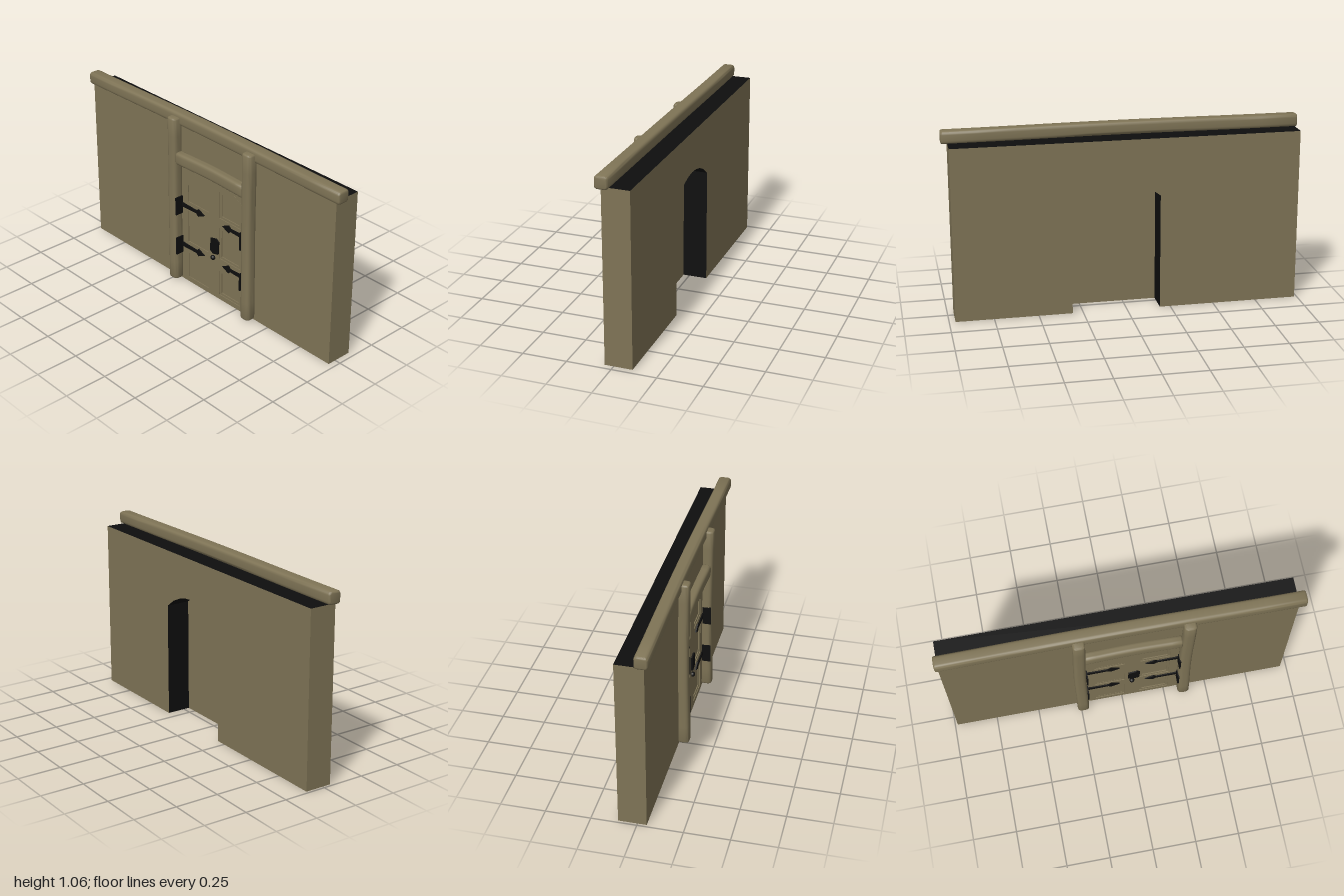
import * as THREE from 'three';
import { toCreasedNormals } from 'three/addons/utils/BufferGeometryUtils.js';

const DOOR_Z = 0.06; // centre line of the doorway

export function createModel() {
  const model = new THREE.Group();
  const wood = new THREE.MeshStandardMaterial({ color: 0x7f7456 });
  wood.name = 'dullBrown';
  const black = new THREE.MeshStandardMaterial({ color: 0x0e0e0e });
  black.name = 'black';

  const add = (name, geo, mat, parent = model) => {
    const mesh = new THREE.Mesh(geo, mat);
    mesh.name = name;
    parent.add(mesh);
    return mesh;
  };

  const polygon = (pts) => new THREE.Shape(pts.map(([u, v]) => new THREE.Vector2(u, v)));

  // Slab outlined in (z, y), running from x = x0 towards -x
  const slab = (shape, x0, depth) => {
    const g = new THREE.ExtrudeGeometry(shape, { depth, bevelEnabled: false });
    g.rotateY(-Math.PI / 2);
    g.translate(x0, 0, 0);
    return g;
  };

  // Height of the shallow doorway arch at a distance d from its centre line
  const archY = (d) => 0.38 + Math.sqrt(0.376 ** 2 - d * d);
  const archPoints = (from, to, n, drop = 0) =>
    Array.from({ length: n + 1 }, (_, i) => {
      const d = from + ((to - from) * i) / n;
      return [DOOR_Z + d, archY(d) - drop];
    });

  // Slightly wavy squared log with soft edges, standing along local z
  const log = (w, h, length, r, bow, phase) => {
    const a = w / 2, b = h / 2;
    const s = new THREE.Shape();
    s.moveTo(-a + r, -b);
    s.lineTo(a - r, -b);
    s.quadraticCurveTo(a, -b, a, -b + r);
    s.lineTo(a, b - r);
    s.quadraticCurveTo(a, b, a - r, b);
    s.lineTo(-a + r, b);
    s.quadraticCurveTo(-a, b, -a, b - r);
    s.lineTo(-a, -b + r);
    s.quadraticCurveTo(-a, -b, -a + r, -b);
    const bev = 0.01;
    const g = new THREE.ExtrudeGeometry(s, {
      depth: length - 2 * bev, steps: 10, curveSegments: 4,
      bevelThickness: bev, bevelSize: bev, bevelOffset: -bev, bevelSegments: 2,
    });
    g.translate(0, 0, bev - length / 2);
    const p = g.attributes.position;
    for (let i = 0; i < p.count; i++) {
      const t = p.getZ(i) / length;
      p.setX(i, p.getX(i) + bow * Math.cos(t * 5 + phase));
      p.setY(i, p.getY(i) + bow * Math.cos(t * Math.PI * 2));
    }
    return toCreasedNormals(g, 0.9);
  };

  // Wall with the arched opening; top, jambs and middle of the base are black
  const wallShape = polygon([
    [-0.985, 0], [-0.64, 0], [DOOR_Z - 0.25, 0],
    ...archPoints(-0.25, 0.25, 8),
    [DOOR_Z + 0.25, 0], [0.62, 0], [0.965, 0], [0.965, 0.988], [-0.985, 0.988],
  ]);
  const wallGeo = slab(wallShape, 0.105, 0.155);
  wallGeo.clearGroups();
  const pos = wallGeo.attributes.position, nor = wallGeo.attributes.normal;
  for (let i = 0; i < pos.count; i += 3) {
    const z = (pos.getZ(i) + pos.getZ(i + 1) + pos.getZ(i + 2)) / 3;
    const face = Math.abs(nor.getX(i)) > 0.5;
    const end = Math.abs(nor.getZ(i)) > 0.9 && Math.abs(z) > 0.9;
    const outerBase = nor.getY(i) < -0.9 && (z > 0.62 || z < -0.64);
    wallGeo.addGroup(i, 3, face || end || outerBase ? 0 : 1);
  }
  add('wall', wallGeo, [wood, black]);

  // Beam along the top of the wall
  const beam = add('topBeam', log(0.074, 0.072, 2, 0.02, 0.003, 0.3), wood);
  beam.position.set(-0.034, 1.024, 0);

  // Posts on both sides of the door and the lintel log between them
  for (const s of [-1, 1]) {
    const geo = log(0.066, 0.068, 1.03, 0.024, 0.003, s * 0.4);
    geo.rotateX(-Math.PI / 2);
    const post = add(s > 0 ? 'leftPost' : 'rightPost', geo, wood);
    post.position.set(-0.073, 0.525, DOOR_Z + s * 0.3);
  }
  const lintel = add('lintel', log(0.055, 0.075, 0.54, 0.02, 0.002, 0), wood);
  lintel.position.set(-0.07, 0.8, DOOR_Z);

  // Door: back board, frame with six openings, moulding around each opening
  const door = new THREE.Group();
  door.name = 'door';
  model.add(door);
  const doorOutline = () => polygon([
    [DOOR_Z - 0.25, 0], [DOOR_Z + 0.25, 0], ...archPoints(0.25, -0.25, 8),
  ]);
  add('doorBoard', slab(doorOutline(), -0.035, 0.005), wood, door);

  const panelOutline = (s, y0, y1, inset) => {
    const near = 0.045 + inset, far = 0.215 - inset;
    const top = y1 === null
      ? archPoints(s * far, s * near, 4, 0.055 + inset)
      : [[DOOR_Z + s * far, y1 - inset], [DOOR_Z + s * near, y1 - inset]];
    return [[DOOR_Z + s * near, y0 + inset], [DOOR_Z + s * far, y0 + inset], ...top];
  };
  const frame = doorOutline();
  const rows = [[0.03, 0.19], [0.27, 0.47], [0.53, null]];
  for (const s of [-1, 1]) {
    for (const [y0, y1] of rows) {
      frame.holes.push(polygon(panelOutline(s, y0, y1, 0)));
      const trim = polygon(panelOutline(s, y0, y1, 0));
      trim.holes.push(polygon(panelOutline(s, y0, y1, 0.014)));
      add('panelMoulding', slab(trim, -0.039, 0.007), wood, door);
    }
  }
  add('doorFrame', slab(frame, -0.039, 0.012), wood, door);

  // Strap hinges with arrow tips, and their plates on the posts
  const strap = [
    [0.265, -0.013], [0.14, -0.009], [0.125, -0.024], [0.1, -0.012], [0.075, 0],
    [0.1, 0.012], [0.125, 0.024], [0.14, 0.009], [0.265, 0.013],
  ];
  for (const s of [-1, 1]) {
    for (const y of [0.235, 0.495]) {
      const shape = polygon(strap.map(([d, v]) => [DOOR_Z + s * d, y + v]));
      add('hingeStrap', slab(shape, -0.05, 0.008), black, door);
      const plate = add('hingePlate', new THREE.BoxGeometry(0.05, 0.11, 0.008), black, door);
      plate.position.set(-0.078, y, DOOR_Z + s * 0.264);
    }
  }

  // Lock plate and pull knob
  const lock = polygon([
    [0.035, 0.3], [0.06, 0.285], [0.1, 0.295], [0.105, 0.375], [0.085, 0.39], [0.04, 0.38],
  ]);
  add('lockPlate', slab(lock, -0.05, 0.009), black, door);
  const knob = add('doorKnob', new THREE.SphereGeometry(0.015, 12, 8), black, door);
  knob.position.set(-0.056, 0.258, 0.058);

  return model;
}
